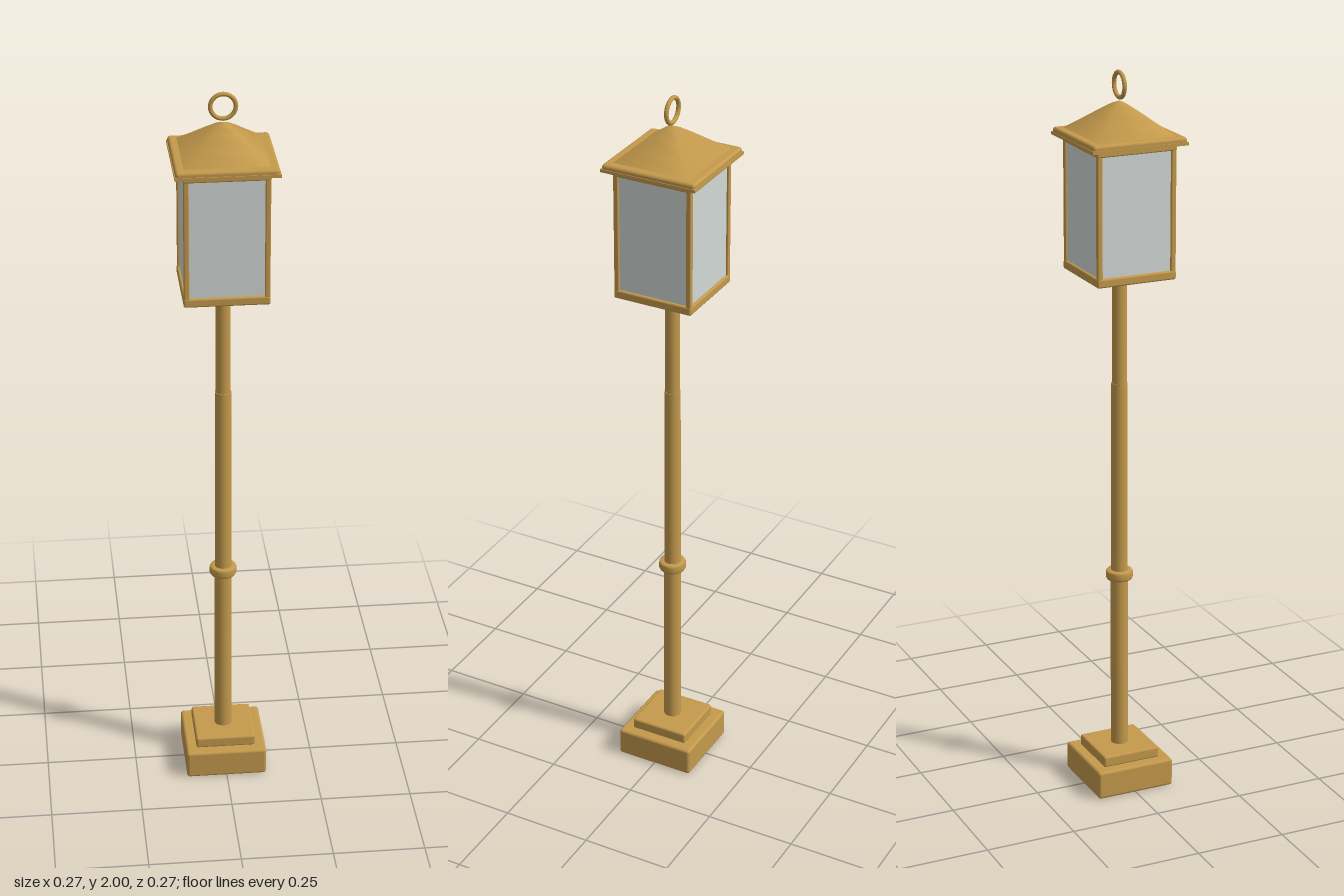
import * as THREE from 'three';
import { RoundedBoxGeometry } from 'three/addons/geometries/RoundedBoxGeometry.js';

const brass = new THREE.MeshStandardMaterial({ color: 0xc49a4c });
const frosted = new THREE.MeshStandardMaterial({ color: 0xd2d9d6 });

export function createModel() {
  const model = new THREE.Group();
  model.name = 'lampPost';

  const add = (name, geometry, x, y, z, material = brass) => {
    const mesh = new THREE.Mesh(geometry, material);
    mesh.name = name;
    mesh.position.set(x, y, z);
    model.add(mesh);
    return mesh;
  };
  // Square slab with softened edges, spanning y0 to y1
  const slab = (name, half, y0, y1, bevel) =>
    add(name, new RoundedBoxGeometry(half * 2, y1 - y0, half * 2, 2, bevel), 0, (y0 + y1) / 2, 0);
  // Round section of the pole, spanning y0 to y1
  const round = (name, r0, r1, y0, y1) =>
    add(name, new THREE.CylinderGeometry(r1, r0, y1 - y0, 20), 0, (y0 + y1) / 2, 0);

  // Stepped base
  slab('basePlinth', 0.112, 0, 0.08, 0.008);
  slab('baseStep', 0.083, 0.078, 0.11, 0.006);

  // Pole in three sections with a collar
  round('lowerPole', 0.024, 0.024, 0.105, 0.605);
  round('middlePole', 0.023, 0.022, 0.605, 1.16);
  round('upperPole', 0.02, 0.02, 1.16, 1.465);
  const collar = [[0.022, 0.6], [0.034, 0.6], [0.037, 0.605], [0.037, 0.621], [0.034, 0.626], [0.022, 0.626]];
  add('collar', new THREE.LatheGeometry(collar.map(p => new THREE.Vector2(...p)), 20), 0, 0, 0);

  // Lantern frame
  slab('lanternFloor', 0.112, 1.46, 1.484, 0.005);
  slab('lanternTopFrame', 0.112, 1.802, 1.822, 0.004);
  for (const x of [-1, 1]) for (const z of [-1, 1]) {
    add('cornerPost', new RoundedBoxGeometry(0.014, 0.33, 0.014, 2, 0.003), x * 0.104, 1.643, z * 0.104);
  }

  // Frosted panes
  for (let i = 0; i < 4; i++) {
    const a = i * Math.PI / 2;
    const pane = add('glassPane', new THREE.BoxGeometry(0.2, 0.33, 0.006),
      Math.sin(a) * 0.102, 1.643, Math.cos(a) * 0.102, frosted);
    pane.rotation.y = a;
  }

  // Eave and softly shaded hipped roof
  add('eaveLip', new THREE.BoxGeometry(0.268, 0.008, 0.268), 0, 1.822, 0);
  slab('eave', 0.132, 1.816, 1.839, 0.008);
  const profile = [[0.112, 1.837], [0.075, 1.866], [0.038, 1.896], [0.014, 1.914], [0, 1.92]];
  const roof = new THREE.LatheGeometry(
    profile.map(([r, y]) => new THREE.Vector2(r * Math.SQRT2, y)), 4, Math.PI / 4);
  add('roof', roof, 0, 0, 0);

  // Hanging ring above the roof
  add('topRing', new THREE.TorusGeometry(0.0325, 0.006, 10, 32), 0, 1.9615, 0);

  return model;
}
